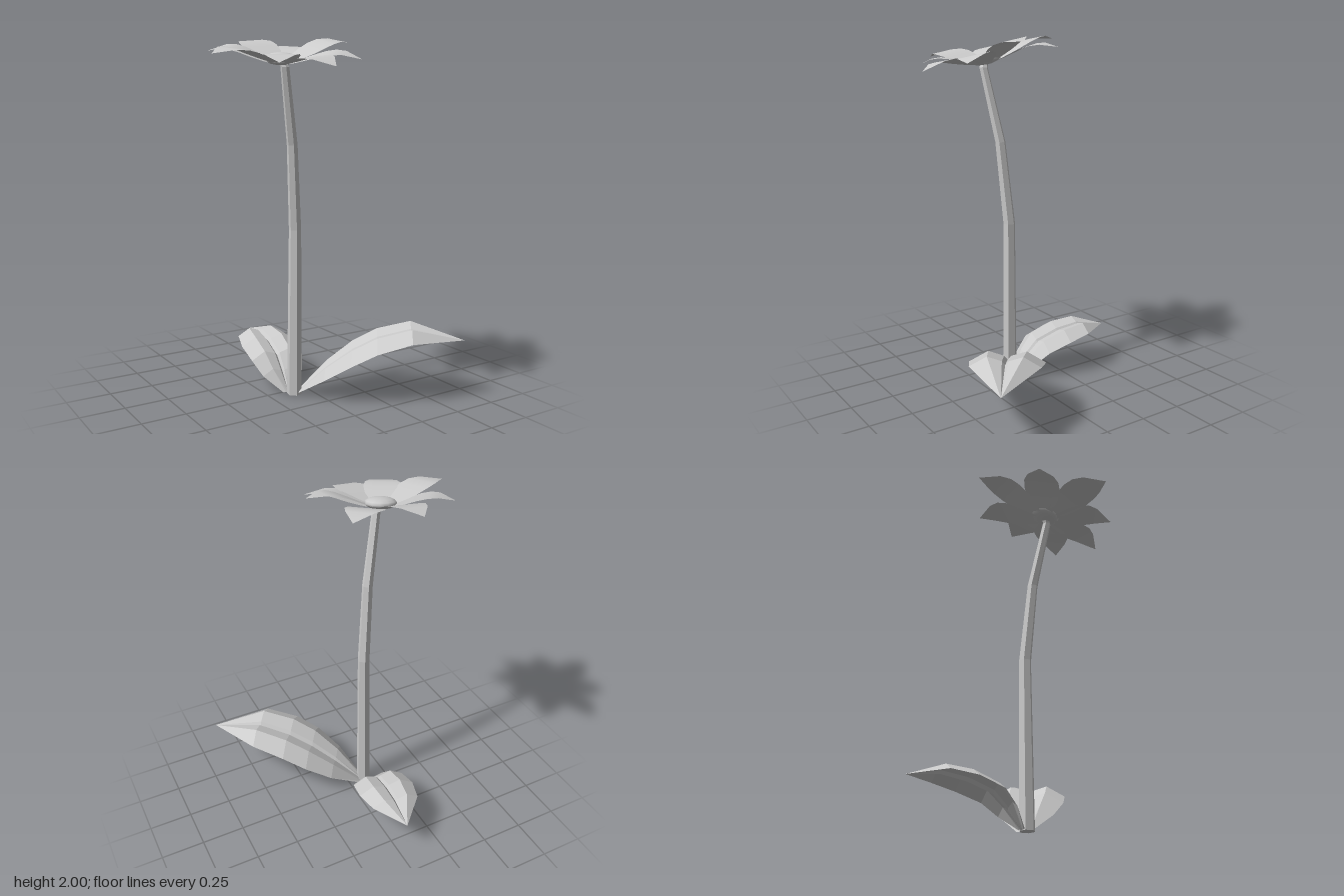
import * as THREE from 'three';

// Surface through rows of points (each row has the same number of [x, y, z])
function loft(name, rows, flat) {
  const n = rows[0].length, index = [];
  for (let i = 0; i < rows.length - 1; i++) {
    for (let j = 0; j < n - 1; j++) {
      const a = i * n + j, b = a + 1, c = a + n, d = c + 1;
      index.push(a, b, c, b, d, c);
    }
  }
  const geo = new THREE.BufferGeometry();
  geo.setAttribute('position', new THREE.Float32BufferAttribute(rows.flat(2), 3));
  geo.setIndex(index);
  geo.computeVertexNormals();
  const mesh = new THREE.Mesh(geo, new THREE.MeshStandardMaterial({
    color: 0xcccccc, flatShading: flat, side: THREE.DoubleSide,
  }));
  mesh.name = name;
  return mesh;
}

// Six-sided stem; each section is [x, y, z, radius]
function makeStem() {
  const sections = [
    [-0.103, 0, 0.05, 0], [-0.103, 0, 0.05, 0.043], [-0.098, 0.95, 0.052, 0.035],
    [-0.135, 1.42, 0.085, 0.03], [-0.213, 1.83, 0.142, 0.024], [-0.222, 1.86, 0.13, 0.022],
  ];
  const rows = sections.map(([x, y, z, r]) => Array.from({ length: 7 }, (_, k) => {
    const a = (k % 6) * Math.PI / 3 + 0.3;
    return [x + r * Math.cos(a), y, z - r * Math.sin(a)];
  }));
  return loft('stem', rows, true);
}

// Arched leaf with a grooved midrib; each section is [distance, height, halfWidth]
function makeLeaf(name, base, tip, sections) {
  const dx = tip[0] - base[0], dz = tip[1] - base[1], len = Math.hypot(dx, dz);
  const ux = dx / len, uz = dz / len;
  // across the leaf: [side, drop], both in half widths
  const across = [[-1, 0.3], [-0.5, 0], [-0.09, 0.13], [0, 0.24], [0.09, 0.13], [0.5, 0], [1, 0.3]];
  const rows = sections.map(([t, h, w]) => across.map(([s, drop]) => [
    base[0] + ux * t - uz * s * w, Math.max(0, h - drop * w), base[1] + uz * t + ux * s * w,
  ]));
  return loft(name, rows, true);
}

// The flower head leans towards -x and +z
const CENTRE = [-0.225, 1.845, 0.12];
const SLOPE_X = 0.11, SLOPE_Z = -0.195;

// Pointed petal that arches from the flower centre to its tip
function makePetal(tip) {
  const dx = tip[0] - CENTRE[0], dz = tip[2] - CENTRE[2], len = Math.hypot(dx, dz);
  const outline = [[0.08, 0.035], [0.2, 0.058], [0.36, 0.09], [0.52, 0.102], [0.65, 0.098], [0.78, 0.074], [1, 0]];
  const rows = outline.map(([t, w]) => [-1, -0.5, 0, 0.5, 1].map((s) => {
    const sx = -dz / len * s * w, sz = dx / len * s * w;
    const arch = 0.045 * Math.sin(Math.PI * Math.pow(t, 1.6));
    const y = CENTRE[1] + (tip[1] - CENTRE[1]) * t + arch;
    return [CENTRE[0] + dx * t + sx, y + SLOPE_X * sx + SLOPE_Z * sz, CENTRE[2] + dz * t + sz];
  }));
  return loft('petal', rows, false);
}

export function createModel() {
  const model = new THREE.Group();
  model.name = 'flower';
  model.add(makeStem());

  // Leaves
  model.add(makeLeaf('largeLeaf', [-0.085, 0.04], [0.677, 0.605], [
    [0, 0, 0.035], [0.17, 0.17, 0.15], [0.32, 0.285, 0.2], [0.46, 0.36, 0.207],
    [0.65, 0.41, 0.187], [0.949, 0.33, 0],
  ]));
  model.add(makeLeaf('smallLeaf', [-0.12, 0.01], [-0.04, -0.606], [
    [0, 0, 0.03], [0.08, 0.12, 0.122], [0.16, 0.205, 0.16], [0.3, 0.255, 0.17],
    [0.44, 0.27, 0.142], [0.621, 0.215, 0],
  ]));

  // Flower head: petals listed by tip
  const head = new THREE.Group();
  head.name = 'flowerHead';
  const tips = [
    [-0.214, 1.985, -0.327], [0.08, 1.942, -0.156], [0.19, 1.973, 0.145], [0.087, 1.865, 0.417],
    [-0.163, 1.818, 0.546], [-0.43, 1.832, 0.457], [-0.677, 1.878, 0.232], [-0.533, 1.918, -0.12],
  ];
  tips.forEach((tip) => head.add(makePetal(tip)));

  // Flattened, tilted centre
  const disc = new THREE.Mesh(
    new THREE.SphereGeometry(0.087, 12, 8),
    new THREE.MeshStandardMaterial({ color: 0xcccccc }),
  );
  disc.name = 'flowerCentre';
  disc.scale.y = 0.36;
  disc.rotation.set(-SLOPE_Z, 0, SLOPE_X);
  disc.position.set(CENTRE[0], CENTRE[1] + 0.03, CENTRE[2]);
  head.add(disc);
  model.add(head);
  return model;
}
